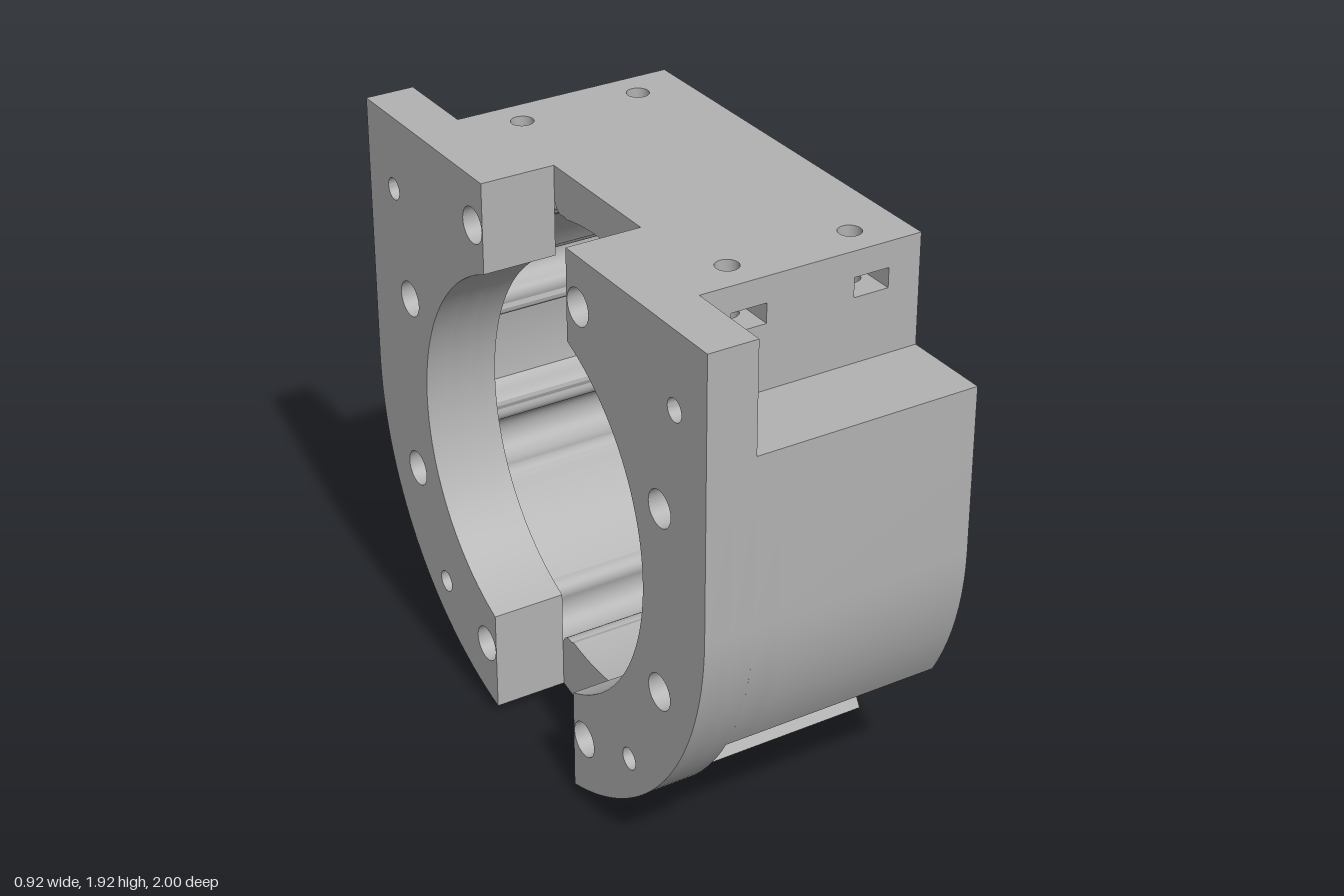
import * as THREE from 'three';
import { toCreasedNormals } from 'three/addons/utils/BufferGeometryUtils.js';

const CAVITY = 0.788, BORE = 0.667, SLOT = 0.25, RAD = Math.PI / 180;
const V = (x, y) => new THREE.Vector2(x, y);

export function createModel() {
  const group = new THREE.Group();
  const grey = new THREE.MeshStandardMaterial({ color: 0xb2b2b2 });
  grey.name = 'grey';

  const add = (name, geo) => {
    const mesh = new THREE.Mesh(toCreasedNormals(geo, 0.5), grey);
    mesh.name = name;
    group.add(mesh);
  };
  const makeShape = (pts, holes = []) => {
    const shape = new THREE.Shape(pts);
    holes.forEach(h => shape.holes.push(new THREE.Path(h)));
    return shape;
  };
  // Section in (u, y) with u = -z, extruded along x
  const alongX = (name, pts, holes, x0, x1) => {
    const geo = new THREE.ExtrudeGeometry(makeShape(pts, holes), { depth: x1 - x0, bevelEnabled: false });
    geo.rotateY(Math.PI / 2).translate(x0, 0, 0);
    add(name, geo);
  };
  // Plan in (x, -z), extruded up y
  const alongY = (name, pts, holes, y0, y1) => {
    const geo = new THREE.ExtrudeGeometry(makeShape(pts, holes), { depth: y1 - y0, bevelEnabled: false });
    geo.rotateX(-Math.PI / 2).translate(0, y0, 0);
    add(name, geo);
  };
  const ring = (x, y, r, n = 24, turn = 0) => Array.from({ length: n }, (_, i) => {
    const a = turn * RAD + i / n * Math.PI * 2;
    return V(x + r * Math.cos(a), y + r * Math.sin(a));
  });
  // Arc around the bore axis; angles in degrees below the horizontal
  const arc = (s, r, a0, a1, n) => Array.from({ length: n + 1 }, (_, i) => {
    const a = (a0 + (a1 - a0) * i / n) * RAD;
    return V(s * r * Math.cos(a), 1 - r * Math.sin(a));
  });

  // Lower fastener pocket wall, with a round (s = -1) or hexagonal (s = 1) groove
  const BOLT = [0.584, 0.663], HEX_TURN = 15;
  const pocketWall = s => {
    const wall = 0.847, pts = [], c = Math.cos(30 * RAD), h = 0.5;
    const at = (a, b) => V(s * a, 1 - b);
    pts.push(at(wall * c, wall * h));
    for (let d = 333; d >= 147; d -= 3) {
      const k = (((d - HEX_TURN) % 60) + 60) % 60 - 30;
      const r = s > 0 ? 0.07 * c / Math.cos(k * RAD) : 0.07;
      const a = BOLT[0] + r * Math.cos(d * RAD), b = BOLT[1] + r * Math.sin(d * RAD);
      if (a * c + b * h < wall && a * h + b * c < wall) pts.push(at(a, b));
    }
    pts.push(at(wall * h, wall * c));
    return pts;
  };

  // Half of the outer outline, top to bottom
  const notchedOutline = (s, end) => [
    V(s * 0.46, 1.92), V(s * 0.46, 1.70), V(s * 0.70, 1.70), V(s * 0.70, 1.555), V(s, 1.555),
    ...arc(s, 1, 0, 30, 10), ...pocketWall(s), ...arc(s, 1, 60, end, 10),
  ];
  const endAngle = Math.acos(SLOT) / RAD, boreAngle = Math.acos(SLOT / BORE) / RAD;
  const plainOutline = s => [V(s * SLOT, 1.92), V(s, 1.92), ...arc(s, 1, 0, endAngle, 30)];
  const boreEdge = s => arc(s, BORE, boreAngle, -boreAngle, 48);

  // Cavity outline: eight screw channels with rounded mouths, and one side relief
  const cavity = () => {
    const pts = [], rc = 0.82, rb = 0.077, f = 0.04;
    const fr = CAVITY + f, ft = Math.sqrt((rb + f) ** 2 - (fr - rc) ** 2);
    const edge = Math.atan2(ft, CAVITY) / RAD;
    for (let i = 0; i < 8; i++) {
      const mid = 22.5 + 45 * i;
      const local = (t, r) => {
        const a = mid * RAD;
        pts.push(V(r * Math.cos(a) - t * Math.sin(a), 1 + r * Math.sin(a) + t * Math.cos(a)));
      };
      for (let k = 0; k <= 6; k++) {
        const a = k / 6 * Math.PI / 2;
        local(-ft + f * Math.sin(a), fr - f * Math.cos(a));
      }
      for (let k = 1; k < 14; k++) {
        const a = Math.PI * (1 - k / 14);
        local(rb * Math.cos(a), rc + rb * Math.sin(a));
      }
      for (let k = 6; k >= 0; k--) {
        const a = k / 6 * Math.PI / 2;
        local(ft - f * Math.sin(a), fr - f * Math.cos(a));
      }
      const a0 = mid + edge, span = 45 - 2 * edge;
      for (let k = 1; k < 28; k++) {
        const d = a0 + span * k / 28, off = Math.abs(d - 360);
        const relief = i === 7 ? 0.064 * THREE.MathUtils.smoothstep(12 - off, 0, 4) : 0;
        pts.push(V((CAVITY + relief) * Math.cos(d * RAD), 1 + (CAVITY + relief) * Math.sin(d * RAD)));
      }
    }
    return pts;
  };

  // Main housing around the cavity
  alongX('housing',
    [...notchedOutline(1, 90), ...notchedOutline(-1, 90).slice(0, -1).reverse()],
    [cavity()], -0.21, 0.46);

  for (const s of [1, -1]) {
    const screws = r => [67.5, 22.5, -22.5, -67.5].map(a =>
      ring(s * 0.82 * Math.cos(a * RAD), 1 + 0.82 * Math.sin(a * RAD), r));
    const bolts = (r, n, t) => [
      ring(s * 0.835, 1.67, r, n, 0),
      ring(s * BOLT[0], 1 - BOLT[1], r, n, t),
    ];
    // Flange: counterbored back, then nut or bolt-head recesses facing the pockets
    alongX('flangeBack', [...plainOutline(s), ...boreEdge(s)],
      [...screws(0.06), ...bolts(0.037, 24, 0)], -0.46, -0.375);
    alongX('flangeFront', [...plainOutline(s), ...boreEdge(s)],
      [...screws(0.037), ...bolts(0.07, s > 0 ? 6 : 24, -HEX_TURN)], -0.375, -0.295);
    // Inner lip between flange and cavity
    alongX('lip', [V(s * SLOT, 1.92), ...notchedOutline(s, endAngle), ...boreEdge(s)],
      screws(0.037), -0.295, -0.21);

    // Top mounting blocks with vertical screw holes and side nut slots
    const xs = [-0.13, 0.29], z = d => -s * d;
    const plan = [V(-0.295, z(0.46)), V(0.46, z(0.46)), V(0.46, z(0.70)), V(-0.295, z(0.70))];
    const holes = () => xs.map(x => ring(x, z(0.585), 0.037));
    alongY('mountBase', plan, holes(), 1.70, 1.77);
    alongY('mountTop', plan, holes(), 1.835, 1.92);
    const slotted = [V(-0.295, z(0.70)), V(-0.295, z(0.46)), V(0.46, z(0.46)), V(0.46, z(0.70))];
    for (const x of [...xs].reverse()) {
      slotted.push(V(x + 0.06, z(0.70)), V(x + 0.06, z(0.55)), V(x, z(0.516)),
        V(x - 0.06, z(0.55)), V(x - 0.06, z(0.70)));
    }
    alongY('nutSlots', slotted, [], 1.77, 1.835);
  }

  // Centre the body on the ground plane origin
  group.position.set(0, 0, 0);
  return group;
}
